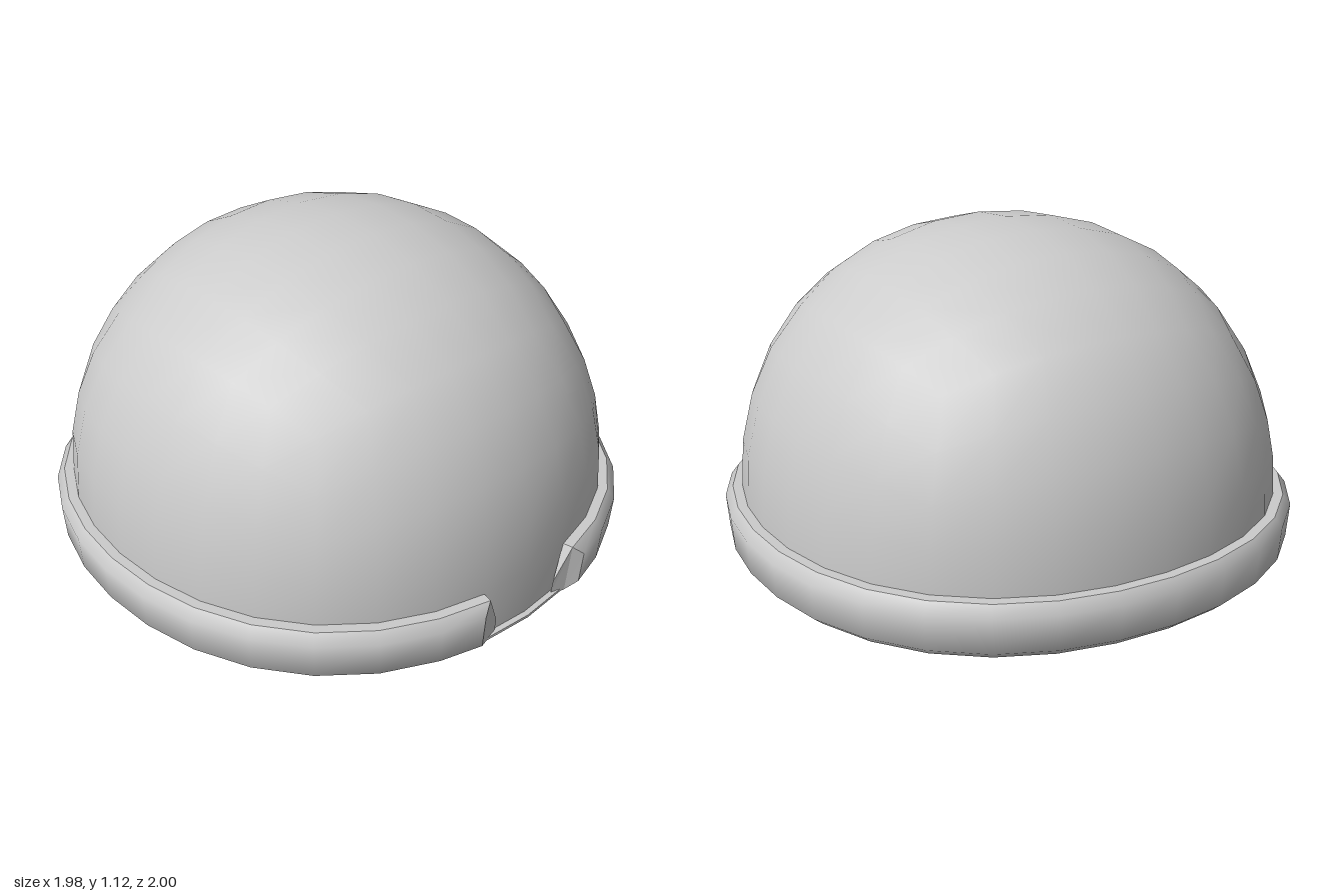
import * as THREE from 'three';
import { mergeGeometries, toCreasedNormals } from 'three/addons/utils/BufferGeometryUtils.js';

const SIDES = 32;
const BASE = 0.185;
const material = new THREE.MeshStandardMaterial({ color: 0xcccccc });

// Soft cube-like bulge of a rounded form in a given unit direction
function bulge(x, y, z) {
  const [a, b, c] = [x * x, y * y, z * z];
  return 1 + 0.108 * (a * b + b * c + c * a) - 0.12 * a * b * c;
}

function makeGeometry(positions, index) {
  const geometry = new THREE.BufferGeometry();
  geometry.setAttribute('position', new THREE.Float32BufferAttribute(positions, 3));
  geometry.setIndex(index);
  return geometry;
}

// Upper half of a box puffed out into a dome; inward turns its faces inside
function shell(radius, inward) {
  const box = new THREE.BoxGeometry(2, 2, 2, 8, 8, 8);
  const p = box.attributes.position;
  const v = new THREE.Vector3();
  const positions = [];
  for (let i = 0; i < p.count; i++) {
    v.fromBufferAttribute(p, i);
    v.set(...v.toArray().map((u) => Math.tan((u * Math.PI) / 4))).normalize();
    v.multiplyScalar(radius * bulge(v.x, v.y, v.z));
    positions.push(v.x, v.y + BASE, v.z);
  }
  const index = [];
  for (let i = 0; i < box.index.count; i += 3) {
    const [a, b, c] = [0, 1, 2].map((k) => box.index.getX(i + k));
    if (p.getY(a) + p.getY(b) + p.getY(c) > 0.01) index.push(a, ...(inward ? [c, b] : [b, c]));
  }
  return makeGeometry(positions, index);
}

// Point on the base outline at an angle in degrees
function ringPoint(r, y, degrees) {
  const a = THREE.MathUtils.degToRad(degrees);
  const [c, s] = [Math.cos(a), Math.sin(a)];
  const f = r * bulge(c, 0, s);
  return [f * c, y, f * s];
}

// Sweeps [radius, height, stop] points round the base, leaving a gap of
// +-stop degrees at the +x side
function sweep(profile, first, last) {
  const n = profile.length;
  const positions = [];
  const index = [];
  for (let k = first; k <= last; k++) {
    for (const [r, y, stop] of profile) {
      let degrees = (k * 360) / SIDES;
      if (k === first) degrees = stop;
      if (k === last) degrees = 360 - stop;
      positions.push(...ringPoint(r, y, degrees));
    }
  }
  for (let k = 0; k < last - first; k++) {
    for (let j = 0; j < n - 1; j++) {
      const a = k * n + j;
      index.push(a, a + 1, a + n, a + 1, a + n + 1, a + n);
    }
  }
  return makeGeometry(positions, index);
}

// Rim cross-section, closed by repeating the first point
const rimProfile = [
  [0.94, 0, 8.5],
  [0.96, 0, 11.8],
  [0.992, 0.03, 13.8],
  [1.0, 0.15, 13.8],
  [0.973, BASE, 11.8],
  [0.938, BASE, 11.8],
  [0.945, 0.06, 8.5],
  [0.94, 0, 8.5],
];

// Bevelled facets closing both ends of the rim
function rimEnds() {
  const positions = [];
  for (const face of [[1, 2, 3], [1, 3, 4], [0, 1, 4], [0, 4, 6], [4, 5, 6]]) {
    const points = face.map((i) => rimProfile[i]);
    const [a, b, c] = points.map(([r, y, stop]) => ringPoint(r, y, stop));
    positions.push(...a, ...c, ...b);
    for (const [r, y, stop] of points) positions.push(...ringPoint(r, y, -stop));
  }
  const geometry = new THREE.BufferGeometry();
  geometry.setAttribute('position', new THREE.Float32BufferAttribute(positions, 3));
  geometry.computeVertexNormals();
  return geometry;
}

export function createModel() {
  const group = new THREE.Group();
  group.name = 'domeCap';
  const add = (name, geometry) => {
    const mesh = new THREE.Mesh(geometry, material);
    mesh.name = name;
    group.add(mesh);
  };

  // Wall under the dome: inner ledge, thin foot and a small outer lip
  const skirt = sweep([
    [0.922, BASE, 0],
    [0.922, 0.165, 0],
    [0.933, 0.165, 0],
    [0.933, 0, 0],
    [0.955, 0, 0],
    [0.955, 0.01, 0],
    [0.938, 0.014, 0],
    [0.94, BASE, 0],
  ], 0, SIDES);
  add('dome', toCreasedNormals(mergeGeometries([shell(0.94, false), shell(0.922, true), skirt]), 0.7));

  add('rimBand', toCreasedNormals(sweep(rimProfile, 1, SIDES - 1), 0.85));
  add('rimEnds', rimEnds());

  group.position.x = 0.011;
  return group;
}
